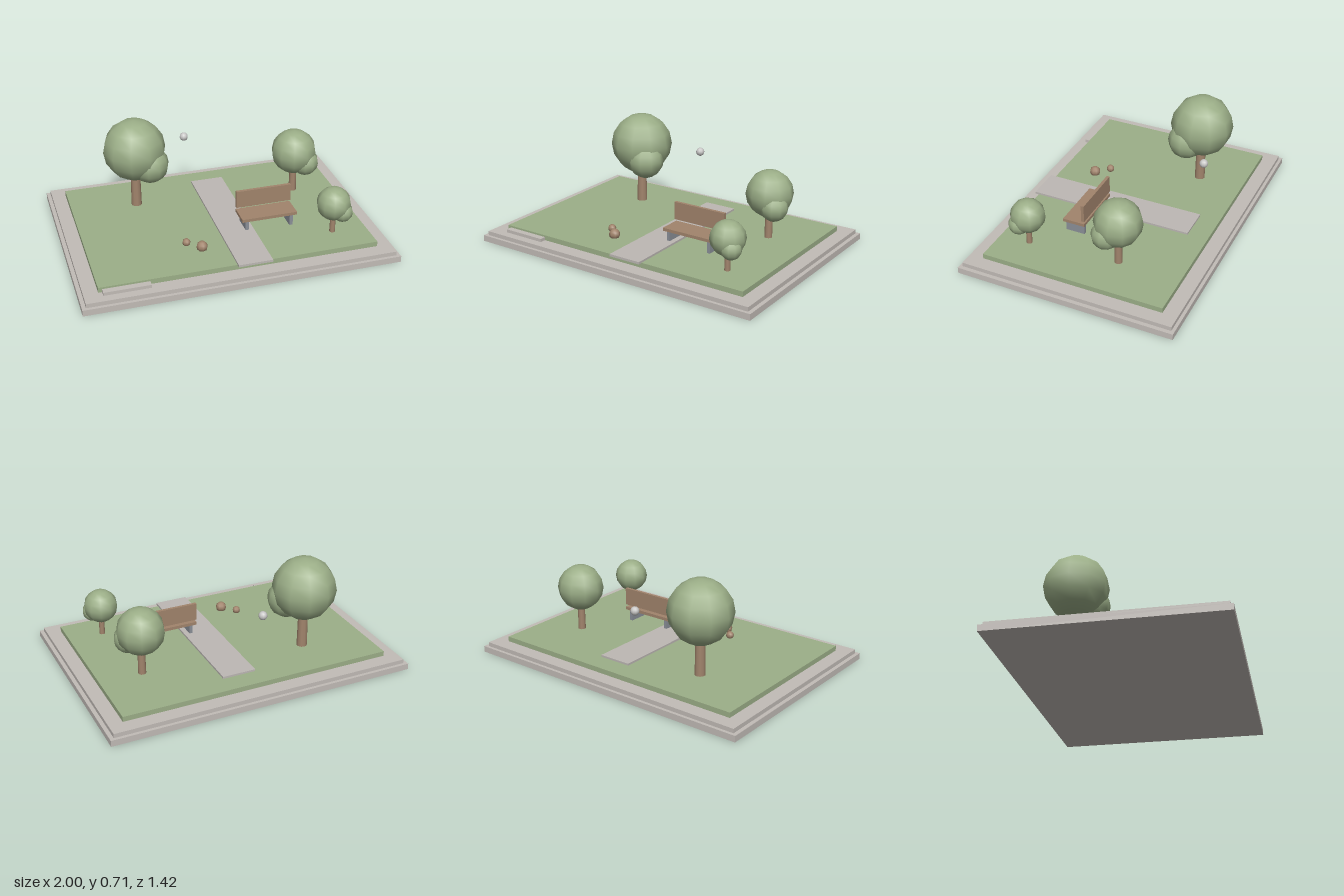
import * as THREE from 'three';

const paint = (name, color) => {
  const m = new THREE.MeshStandardMaterial({ color });
  m.name = name;
  return m;
};

export function createModel() {
  const stone = paint('warm stone', 0xc2bcb7);
  const paving = paint('paving', 0xbdb8b4);
  const grass = paint('sage green', 0x9caf88);
  const wood = paint('wood', 0xa1846c);
  const metal = paint('grey metal', 0x8a8f98);
  const pale = paint('pale grey', 0xc8c7c6);

  const park = new THREE.Group();
  park.name = 'parkDiorama';

  const add = (parent, name, geometry, material, x = 0, y = 0, z = 0) => {
    const mesh = new THREE.Mesh(geometry, material);
    mesh.name = name;
    mesh.position.set(x, y, z);
    parent.add(mesh);
    return mesh;
  };
  // box given by its limits on each axis
  const box = (parent, name, material, [x0, x1], [y0, y1], [z0, z1]) =>
    add(parent, name, new THREE.BoxGeometry(x1 - x0, y1 - y0, z1 - z0), material,
      (x0 + x1) / 2, (y0 + y1) / 2, (z0 + z1) / 2);

  // stepped plinth, lawn and paving
  box(park, 'plinthLower', stone, [-1, 1], [0, 0.04], [-0.708, 0.708]);
  box(park, 'plinthUpper', stone, [-0.975, 0.975], [0.04, 0.067], [-0.688, 0.688]);
  box(park, 'lawn', grass, [-0.885, 0.885], [0.067, 0.1], [-0.595, 0.595]);
  box(park, 'path', paving, [-0.032, 0.186], [0.098, 0.113], [-0.463, 0.621]);
  box(park, 'plaque', stone, [-0.862, -0.572], [0.067, 0.088], [0.59, 0.635]);

  // tree: tapered trunk, round crown and a smaller bulge low on one side
  const tree = (name, x, z, crownY, r) => {
    const group = new THREE.Group();
    group.name = name;
    group.position.set(x, 0, z);
    const height = crownY - r * 0.7 - 0.1;
    add(group, 'trunk', new THREE.CylinderGeometry(r * 0.15, r * 0.168, height, 10), wood, 0, 0.1 + height / 2, 0);
    add(group, 'crown', new THREE.SphereGeometry(r, 10, 8), grass, 0, crownY, 0);
    add(group, 'crownBulge', new THREE.SphereGeometry(r * 0.6, 10, 8), grass, r * 0.41, crownY - r * 0.42, r * 0.35);
    park.add(group);
  };
  tree('largeTree', -0.455, -0.293, 0.508, 0.205);
  tree('mediumTree', 0.606, -0.186, 0.393, 0.151);
  tree('smallTree', 0.661, 0.396, 0.304, 0.11);

  // bench
  const bench = new THREE.Group();
  bench.name = 'bench';
  park.add(bench);
  box(bench, 'seat', wood, [0.106, 0.472], [0.175, 0.195], [0.112, 0.259]);
  box(bench, 'backrest', wood, [0.106, 0.472], [0.212, 0.328], [0.112, 0.132]);
  for (const x of [0.141, 0.437]) {
    box(bench, 'leg', metal, [x - 0.011, x + 0.011], [0.1, 0.175], [0.124, 0.251]);
  }

  // round boulders on the lawn and the floating ball
  add(park, 'largeBoulder', new THREE.SphereGeometry(0.036, 8, 6), wood, -0.19, 0.121, 0.367);
  add(park, 'smallBoulder', new THREE.SphereGeometry(0.026, 8, 6), wood, -0.269, 0.117, 0.289);
  add(park, 'floatingBall', new THREE.SphereGeometry(0.028, 10, 8), pale, -0.083, 0.47, -0.452);

  return park;
}
